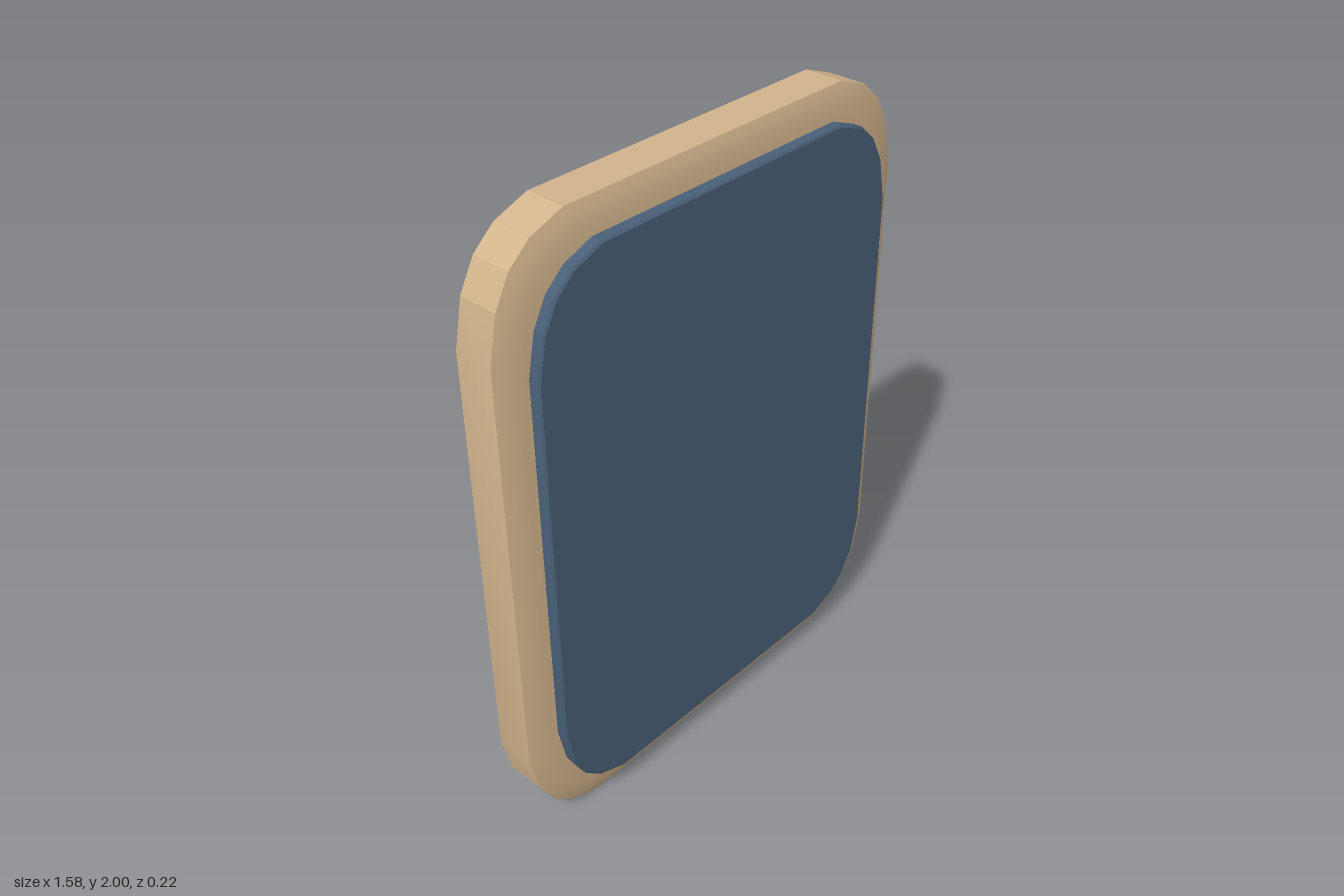
import * as THREE from 'three';
import { toCreasedNormals } from 'three/addons/utils/BufferGeometryUtils.js';

const HALF_W = 0.79, HALF_H = 1;

// One rounded corner, mirrored into a counter-clockwise outline
const corner = [[0.79, 0.67], [0.76, 0.81], [0.71, 0.9], [0.64, 0.96], [0.53, 1]];
const flipped = [...corner].reverse();
const outline = [
  ...corner,
  ...flipped.map(([x, y]) => [-x, y]),
  ...corner.map(([x, y]) => [-x, -y]),
  ...flipped.map(([x, y]) => [x, -y]),
];

// Closed slab lofted through [inset, z] rings, running from back to front
function slab(rings) {
  const positions = [], index = [], n = outline.length;
  for (const [inset, z] of rings) {
    const sx = 1 - inset / HALF_W, sy = 1 - inset / HALF_H;
    for (const [x, y] of outline) positions.push(x * sx, y * sy, z);
  }
  const last = (rings.length - 1) * n;
  const backCentre = rings.length * n, frontCentre = backCentre + 1;
  positions.push(0, 0, rings[0][1], 0, 0, rings[rings.length - 1][1]);
  for (let i = 0; i < n; i++) {
    const j = (i + 1) % n;
    for (let r = 0; r < last; r += n) {
      index.push(r + i, r + j, r + n + j, r + i, r + n + j, r + n + i);
    }
    index.push(backCentre, j, i, frontCentre, last + i, last + j);
  }
  const geometry = new THREE.BufferGeometry();
  geometry.setAttribute('position', new THREE.Float32BufferAttribute(positions, 3));
  geometry.setIndex(index);
  return toCreasedNormals(geometry, 0.25);
}

function addPart(group, name, rings, color) {
  const mesh = new THREE.Mesh(slab(rings), new THREE.MeshStandardMaterial({ color }));
  mesh.name = name;
  mesh.position.y = HALF_H;
  group.add(mesh);
}

export function createModel() {
  const group = new THREE.Group();
  group.name = 'panelledTablet';

  // Tan body with softly domed front and back
  addPart(group, 'body', [
    [0.25, -0.11], [0.14, -0.107], [0.07, -0.102], [0.03, -0.094], [0, -0.08],
    [0, 0.045], [0.03, 0.056], [0.07, 0.063], [0.14, 0.067], [0.25, 0.07],
  ], 0xd2b48c);

  // Blue raised panel on the front
  addPart(group, 'frontPanel', [
    [0.1, 0.064], [0.094, 0.07], [0.094, 0.1], [0.1, 0.105],
  ], 0x4a6078);

  return group;
}
